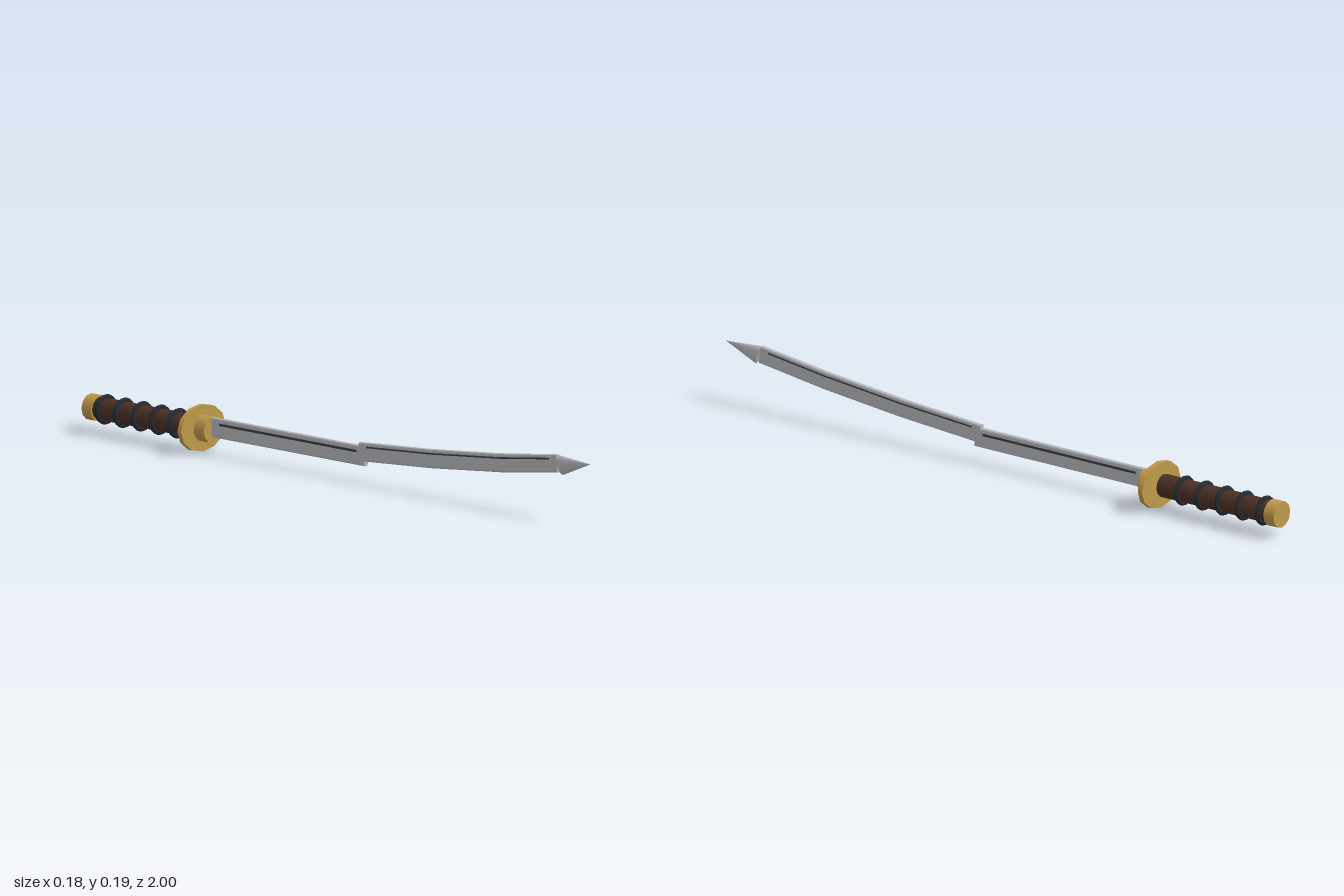
import * as THREE from 'three';

const mat = (color, flatShading = false) => new THREE.MeshStandardMaterial({ color, flatShading });
const gold = mat(0xbf9a4b);
const steel = mat(0xb4b7bd, true);
const dark = mat(0x3a3e46, true);
const wood = mat(0x4a3025);
const cord = mat(0x262a31);

const AXIS_Y = 0.069; // height of the hilt axis

function add(group, name, geometry, material) {
  const mesh = new THREE.Mesh(geometry, material);
  mesh.name = name;
  group.add(mesh);
  return mesh;
}

// Round hilt part lying along z between two stations
function hiltPart(group, name, z0, z1, rx, ry, material) {
  const g = new THREE.CylinderGeometry(1, 1, z1 - z0, 12);
  g.rotateX(Math.PI / 2);
  g.scale(rx, ry, 1);
  g.translate(0, AXIS_Y, (z0 + z1) / 2);
  return add(group, name, g, material);
}

// Rounded bar swept through stations [z, y, height, pitch]
function sweptBar(stations, width, round) {
  const w = width / 2;
  const pos = [], idx = [];
  const ring = ([z, y, h, pitch]) => {
    const pts = [];
    for (let q = 0; q < 4; q++) {
      const sx = q === 0 || q === 3 ? 1 : -1, sy = q < 2 ? 1 : -1;
      for (let k = 0; k <= 2; k++) {
        const a = (q + k / 2) * Math.PI / 2;
        const px = sx * (w - round) + Math.cos(a) * round;
        const py = sy * (h / 2 - round) + Math.sin(a) * round;
        pts.push([px, y + py * Math.cos(pitch), z - py * Math.sin(pitch)]);
      }
    }
    return pts;
  };
  const n = 12;
  for (const s of stations) for (const p of ring(s)) pos.push(...p);
  for (let i = 0; i < stations.length - 1; i++) {
    for (let j = 0; j < n; j++) {
      const a = i * n + j, b = i * n + (j + 1) % n;
      idx.push(a, b, b + n, a, b + n, a + n);
    }
  }
  const last = (stations.length - 1) * n;
  for (let j = 1; j < n - 1; j++) {
    idx.push(0, j + 1, j, last, last + j, last + j + 1);
  }
  const g = new THREE.BufferGeometry();
  g.setAttribute('position', new THREE.Float32BufferAttribute(pos, 3));
  g.setIndex(idx);
  g.computeVertexNormals();
  return g;
}

export function createModel() {
  const model = new THREE.Group();
  model.name = 'sword';

  // Hilt
  const hilt = new THREE.Group();
  hilt.name = 'hilt';
  model.add(hilt);
  hiltPart(hilt, 'pommel', -1, -0.963, 0.039, 0.039, gold);
  hiltPart(hilt, 'grip', -0.963, -0.575, 0.034, 0.034, wood);
  hiltPart(hilt, 'guard', -0.566, -0.551, 0.09, 0.068, gold);
  hiltPart(hilt, 'collar', -0.551, -0.51, 0.039, 0.039, gold);

  // Cord rings around the grip
  for (let i = 0; i < 5; i++) {
    const ring = add(hilt, 'gripRing', new THREE.TorusGeometry(0.036, 0.008, 8, 24), cord);
    ring.position.set(0, AXIS_Y, -0.94 + i * 0.0725);
  }

  // Straight half of the blade with its groove
  const blade = new THREE.Group();
  blade.name = 'blade';
  model.add(blade);
  add(blade, 'straightBlade', sweptBar([[-0.52, 0.077, 0.058, 0], [0.1, 0.077, 0.058, 0]], 0.016, 0.005), steel);
  const groove = add(blade, 'straightGroove', new THREE.BoxGeometry(0.0172, 0.007, 0.55), dark);
  groove.position.set(0, 0.089, -0.205);

  // Curved half, rising toward the point
  const curve = [
    [0.08, 0.088, 0.055, 0.07],
    [0.366, 0.107, 0.055, 0.083],
    [0.64, 0.133, 0.054, 0.115],
    [0.872, 0.163, 0.052, 0.14],
  ];
  add(blade, 'curvedBlade', sweptBar(curve, 0.016, 0.005), steel);
  const line = curve.map(([z, y, , p], i) => [z + [0.03, 0, 0, -0.03][i], y + [0.017, 0.015, 0.015, 0.011][i], 0.005, p]);
  add(blade, 'curvedGroove', sweptBar(line, 0.0172, 0.001), dark);

  // Slanted elliptical point
  const tip = new THREE.ConeGeometry(1, 1, 16);
  tip.translate(0, 0.5, 0);
  tip.applyMatrix4(new THREE.Matrix4().makeBasis(
    new THREE.Vector3(0.0134, 0, 0),
    new THREE.Vector3(0, 0.018, 0.122),
    new THREE.Vector3(0, -0.028, 0.012),
  ).setPosition(0, 0.16, 0.878));
  tip.computeVertexNormals();
  add(blade, 'bladeTip', tip, mat(0xb4b7bd));

  return model;
}
